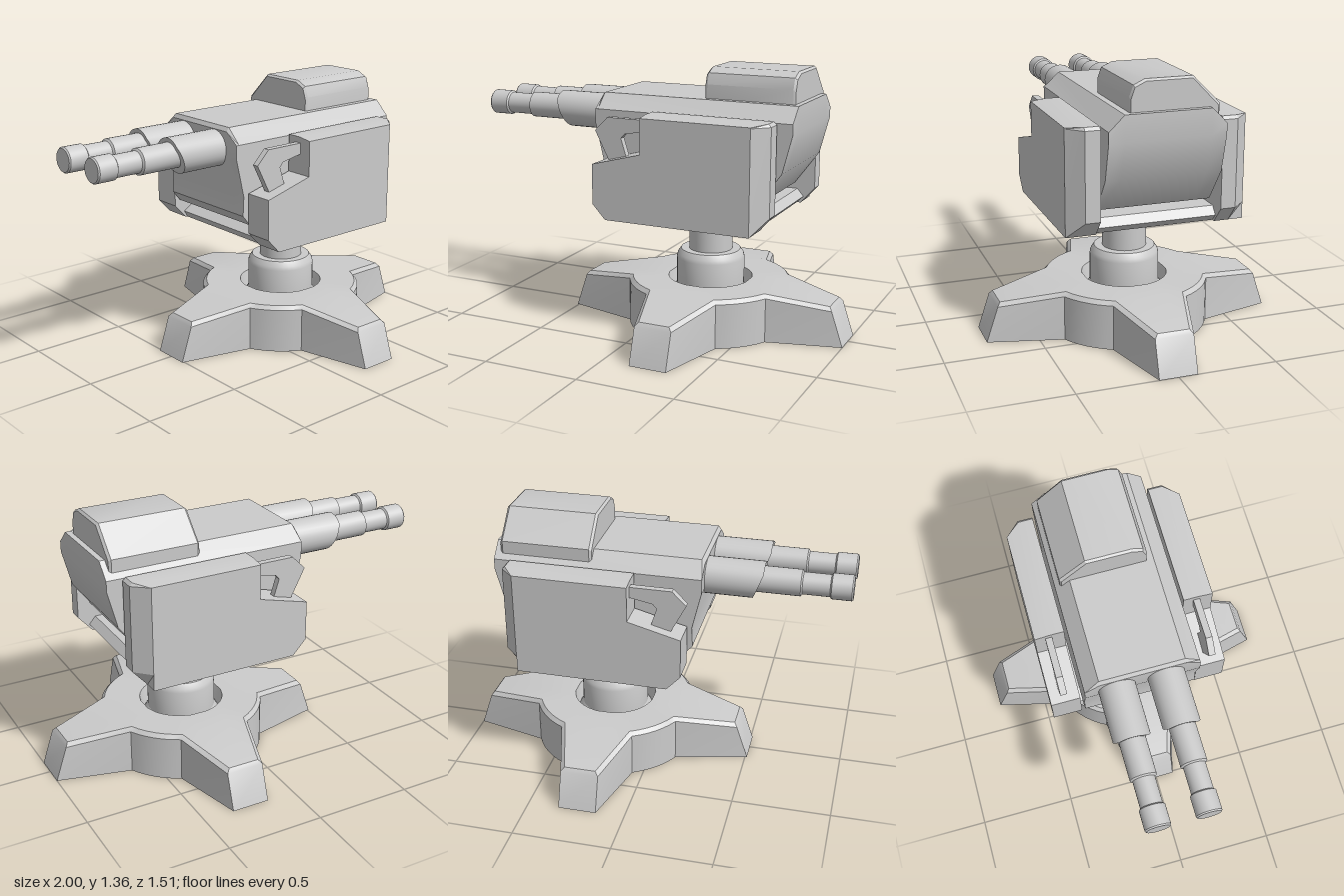
import * as THREE from 'three';
import { toCreasedNormals } from 'three/addons/utils/BufferGeometryUtils.js';

const material = new THREE.MeshStandardMaterial({ color: 0xcccccc });
const shellMaterial = new THREE.MeshStandardMaterial({ color: 0xcccccc, side: THREE.DoubleSide });

function part(name, geometry, mat = material) {
  const mesh = new THREE.Mesh(toCreasedNormals(geometry, 0.5), mat);
  mesh.name = name;
  return mesh;
}

// Extrudes an x-y outline through the given z layers; rule(v, layer) may reshape each layer.
function slab(name, outline, layers, rule = () => {}) {
  const shape = new THREE.Shape(outline.map(([x, y]) => new THREE.Vector2(x, y)));
  const steps = layers.length - 1;
  const geometry = new THREE.ExtrudeGeometry(shape, { depth: steps, steps, bevelEnabled: false });
  const pos = geometry.attributes.position;
  const v = new THREE.Vector3();
  for (let i = 0; i < pos.count; i++) {
    v.fromBufferAttribute(pos, i);
    const layer = Math.round(v.z);
    v.z = layers[layer];
    rule(v, layer);
    pos.setXYZ(i, v.x, v.y, v.z);
  }
  return part(name, geometry);
}

// Open-bottomed four-legged base, built from rings that follow the star outline.
function createBase() {
  // each ring: corner [along, across, y], leg tip [along, across, y]
  const legRings = [
    [[0.38, 0.19, 0], [0.755, 0.097, 0]],
    [[0.38, 0.19, 0.23], [0.695, 0.097, 0.18]],
    [[0.367, 0.175, 0.25], [0.68, 0.08, 0.2]],
    [[0.367, 0.175, 0.25], [0.37, 0.08, 0.25]],
  ];
  const rings = legRings.map(([c, t]) => {
    const ring = [[c[0], -c[1], c[2]], [t[0], -t[1], t[2]], [t[0], t[1], t[2]], [c[0], c[1], c[2]]];
    // rounded hub wall between two legs
    const r = Math.hypot(c[0], c[1]), a0 = Math.atan2(c[1], c[0]);
    for (let k = 1; k < 6; k++) {
      const a = a0 + (Math.PI / 2 - 2 * a0) * k / 6;
      ring.push([r * Math.cos(a), r * Math.sin(a), c[2]]);
    }
    return ring;
  });
  // central socket
  for (const [r, y] of [[0.22, 0.25], [0.2, 0.17]]) {
    rings.push(rings[3].map(([a, w]) => {
      const ang = Math.atan2(w, a);
      return [r * Math.cos(ang), r * Math.sin(ang), y];
    }));
  }
  const n = rings[0].length * 4;
  const positions = [], index = [];
  for (const ring of rings) {
    for (let leg = 0; leg < 4; leg++) {
      const c = Math.round(Math.cos(leg * Math.PI / 2)), s = Math.round(Math.sin(leg * Math.PI / 2));
      for (const [a, w, y] of ring) positions.push(a * c - w * s, y, a * s + w * c);
    }
  }
  for (let i = 0; i < rings.length - 1; i++) {
    for (let j = 0; j < n; j++) {
      const a = i * n + j, b = i * n + (j + 1) % n;
      index.push(a, a + n, b, b, a + n, b + n);
    }
  }
  const geometry = new THREE.BufferGeometry();
  geometry.setAttribute('position', new THREE.Float32BufferAttribute(positions, 3));
  geometry.setIndex(index);
  const base = part('base', geometry, shellMaterial);
  base.position.x = 0.245;
  return base;
}

// Stepped pedestal and column
function createPedestal() {
  const profile = [[0, 0.17], [0.2, 0.17], [0.177, 0.21], [0.177, 0.355], [0.172, 0.375], [0.155, 0.4],
    [0.113, 0.4], [0.113, 0.62], [0, 0.62]].map(([r, y]) => new THREE.Vector2(r, y));
  const pedestal = part('pedestal', new THREE.LatheGeometry(profile, 40));
  pedestal.position.x = 0.245;
  return pedestal;
}

// Armour panel with a chamfered rear outer edge and a hooked fin at the front
function createPanel(side) {
  const group = new THREE.Group();
  group.name = side > 0 ? 'leftPanel' : 'rightPanel';
  const outline = [[-0.22, 0.885], [-0.22, 0.68], [-0.15, 0.605], [0.62, 0.605], [0.695, 0.69],
    [0.695, 1.13], [0.68, 1.145], [0.045, 1.145], [0.045, 0.955]];
  const layers = side > 0 ? [0.277, 0.352, 0.427] : [-0.48, -0.405, -0.33];
  const outer = side > 0 ? 2 : 0;
  group.add(slab('armourPlate', outline, layers, (v, layer) => {
    if (layer === outer) {
      v.x = Math.min(v.x, 0.62);
      v.y = Math.min(v.y, 1.135);
    }
  }));
  const hook = [[0.06, 1.115], [-0.165, 1.115], [-0.235, 1.045], [-0.155, 0.89], [-0.06, 0.92],
    [-0.09, 1.015], [-0.07, 1.037], [0.06, 1.062]];
  const z = side > 0 ? 0.345 : -0.41;
  group.add(slab('hookFin', hook, [z - 0.017, z + 0.017]));
  return group;
}

// Telescoping barrel with a sleeve whose front end is cut at a slant
function createGun(z) {
  const group = new THREE.Group();
  group.name = 'gun';
  const profile = [[0, 0], [0.058, 0], [0.064, 0.007], [0.064, 0.105], [0.055, 0.112], [0.055, 0.245],
    [0.066, 0.252], [0.066, 0.5], [0, 0.5]].map(([r, y]) => new THREE.Vector2(r, y));
  const barrel = part('barrel', new THREE.LatheGeometry(profile, 28).rotateZ(-Math.PI / 2));
  barrel.position.set(-1, 1.1, z);
  const sleeveGeometry = new THREE.CylinderGeometry(0.093, 0.093, 0.52, 28).rotateZ(-Math.PI / 2);
  const pos = sleeveGeometry.attributes.position;
  for (let i = 0; i < pos.count; i++) {
    if (pos.getX(i) < 0) pos.setX(i, pos.getX(i) + Math.max(0, 0.06 - pos.getY(i)) * 0.38);
  }
  const sleeve = part('sleeve', sleeveGeometry);
  sleeve.position.set(-0.31, 1.095, z);
  group.add(barrel, sleeve);
  return group;
}

export function createModel() {
  const model = new THREE.Group();
  model.name = 'turret';
  model.add(createBase(), createPedestal());

  // Cradle: floor plate and two side panels
  model.add(slab('cradleFloor', [[-0.14, 0.605], [0.6, 0.605], [0.635, 0.64], [0.6, 0.68], [-0.1, 0.68], [-0.16, 0.64]],
    [-0.34, 0.29]));
  for (const side of [-1, 1]) model.add(createPanel(side));

  // Gun housing with chamfered upper edges
  const housing = [[-0.27, 1.21], [-0.285, 1.19], [-0.285, 1.06], [-0.24, 0.87], [-0.245, 0.77], [-0.2, 0.715],
    [0.59, 0.715], [0.72, 0.89], [0.77, 1.08], [0.77, 1.21]];
  model.add(slab('housing', housing, [-0.315, -0.24, 0.188, 0.265], (v, layer) => {
    if (layer === 0 || layer === 3) v.y = Math.min(v.y, 1.135);
  }));

  // Roof box, outlined across the model and extruded along x
  const roof = slab('roofBox', [[-0.155, 1.15], [-0.155, 1.28], [-0.135, 1.335], [-0.08, 1.36], [0.155, 1.36],
    [0.29, 1.225], [0.29, 1.12], [0, 1.12]], [0.272, 0.284, 0.73, 0.742], (v, layer) => {
    if (layer === 0 || layer === 3) {
      v.x *= 0.97;
      v.y -= 0.01;
    }
  });
  roof.rotation.y = Math.PI / 2;
  model.add(roof);

  for (const z of [-0.155, 0.092]) model.add(createGun(z));
  return model;
}
